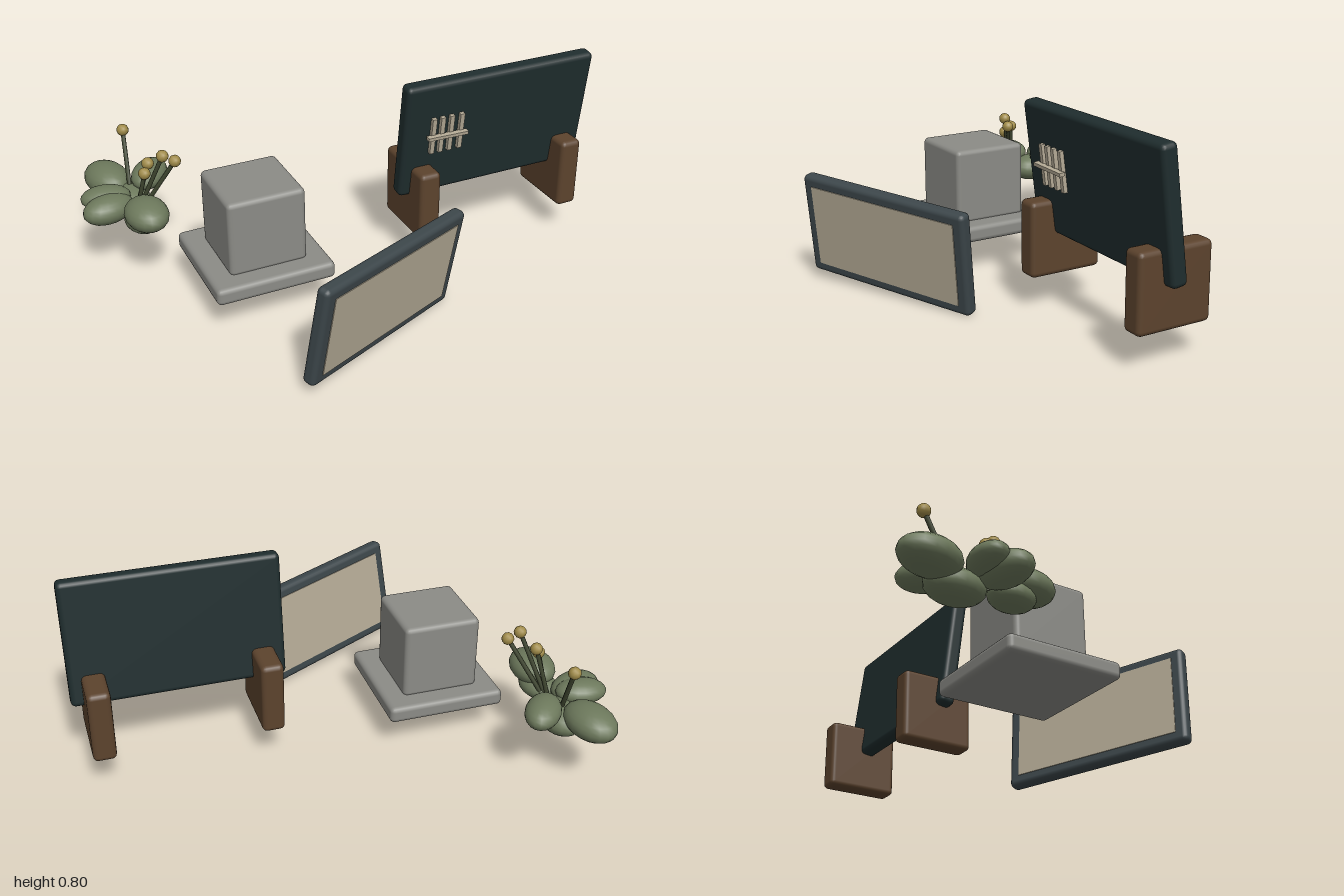
import * as THREE from 'three';
import { RoundedBoxGeometry } from 'three/addons/geometries/RoundedBoxGeometry.js';

const material = (name, color) => {
  const m = new THREE.MeshStandardMaterial({ color });
  m.name = name;
  return m;
};

export function createModel() {
  const slate = material('dark slate', 0x1f2d2e);
  const steel = material('frame grey', 0x3c464a);
  const bone = material('bone', 0xb4aa95);
  const stone = material('stone', 0x8b8b86);
  const wood = material('brown wood', 0x5c432d);
  const sage = material('sage green', 0x6d795c);
  const stalk = material('stalk green', 0x3f4630);
  const ochre = material('ochre', 0xa08b48);

  const model = new THREE.Group();
  model.name = 'displaySet';

  const add = (parent, name, geometry, mat, x = 0, y = 0, z = 0) => {
    const mesh = new THREE.Mesh(geometry, mat);
    mesh.name = name;
    mesh.position.set(x, y, z);
    parent.add(mesh);
    return mesh;
  };
  const group = (name, x = 0, y = 0, z = 0) => {
    const g = new THREE.Group();
    g.name = name;
    g.position.set(x, y, z);
    model.add(g);
    return g;
  };
  const rounded = (w, h, d, r = 0.02) => new RoundedBoxGeometry(w, h, d, 2, r);

  // Leaning slate board with tally marks on its front
  const board = group('slateBoard', 0.58, 0.552, 0.063);
  board.rotation.x = 0.13;
  add(board, 'slab', rounded(0.84, 0.5, 0.066), slate);
  for (const x of [0.28, 0.318, 0.358, 0.403]) {
    add(board, 'tallyMark', new THREE.BoxGeometry(0.019, 0.158, 0.018), bone, x - 0.58, 0.025, 0.04);
  }
  const bar = add(board, 'tallyCrossbar', new THREE.BoxGeometry(0.176, 0.014, 0.022), bone, -0.242, 0.025, 0.056);
  bar.rotation.z = -0.02;

  // Wooden supports under the board
  for (const x of [0.25, 0.907]) {
    add(model, 'boardSupport', rounded(0.09, 0.295, 0.305), wood, x, 0.286, 0.013);
  }

  // Stone block on a plinth
  const pedestal = group('pedestal', -0.438, 0, 0.009);
  add(pedestal, 'plinth', rounded(0.475, 0.068, 0.475), stone, 0, 0.17, 0);
  add(pedestal, 'block', rounded(0.31, 0.31, 0.31), stone, 0, 0.348, 0);

  // Tilted frame with a pane showing on both faces
  const frame = group('framedPanel', -0.14, 0.23, 0.548);
  frame.rotation.set(0.15, 0.42, -0.05, 'YXZ');
  add(frame, 'frame', rounded(0.785, 0.418, 0.056), steel);
  for (const side of [1, -1]) {
    add(frame, 'pane', new THREE.BoxGeometry(0.695, 0.335, 0.006), bone, 0, 0, side * 0.028);
  }

  // Succulent: [x, y, z, half length, half width, half height, heading]
  const plant = group('succulent');
  const leafShape = new THREE.SphereGeometry(1, 18, 12);
  const leaves = [
    [-0.84, 0.285, -0.63, 0.122, 0.086, 0.064, 0.2],
    [-0.683, 0.31, -0.55, 0.108, 0.068, 0.053, -0.65],
    [-0.893, 0.3, -0.45, 0.1, 0.066, 0.047, 1.4],
    [-0.9, 0.28, -0.39, 0.108, 0.072, 0.058, 1.85],
    [-0.787, 0.308, -0.24, 0.112, 0.085, 0.061, 0.05],
    [-0.78, 0.24, -0.505, 0.112, 0.08, 0.06, 0],
    [-0.79, 0.256, -0.295, 0.09, 0.07, 0.048, 0.1],
  ];
  for (const [x, y, z, length, width, height, heading] of leaves) {
    const leaf = add(plant, 'leaf', leafShape, sage, x, y, z);
    leaf.scale.set(width, height, length);
    leaf.rotation.y = heading;
  }

  // Thin stems with round buds: [root, tip]
  const stems = [
    [[-0.78, 0.25, -0.5], [-0.76, 0.5, -0.61]],
    [[-0.785, 0.25, -0.375], [-0.69, 0.512, -0.297]],
    [[-0.775, 0.25, -0.37], [-0.645, 0.485, -0.287]],
    [[-0.79, 0.25, -0.385], [-0.735, 0.462, -0.356]],
    [[-0.79, 0.25, -0.37], [-0.757, 0.432, -0.335]],
  ];
  const budShape = new THREE.IcosahedronGeometry(0.025, 1);
  for (const [root, tip] of stems) {
    const path = new THREE.LineCurve3(new THREE.Vector3(...root), new THREE.Vector3(...tip));
    add(plant, 'stem', new THREE.TubeGeometry(path, 1, 0.009, 8), stalk);
    add(plant, 'bud', budShape, ochre, ...tip);
  }

  return model;
}
